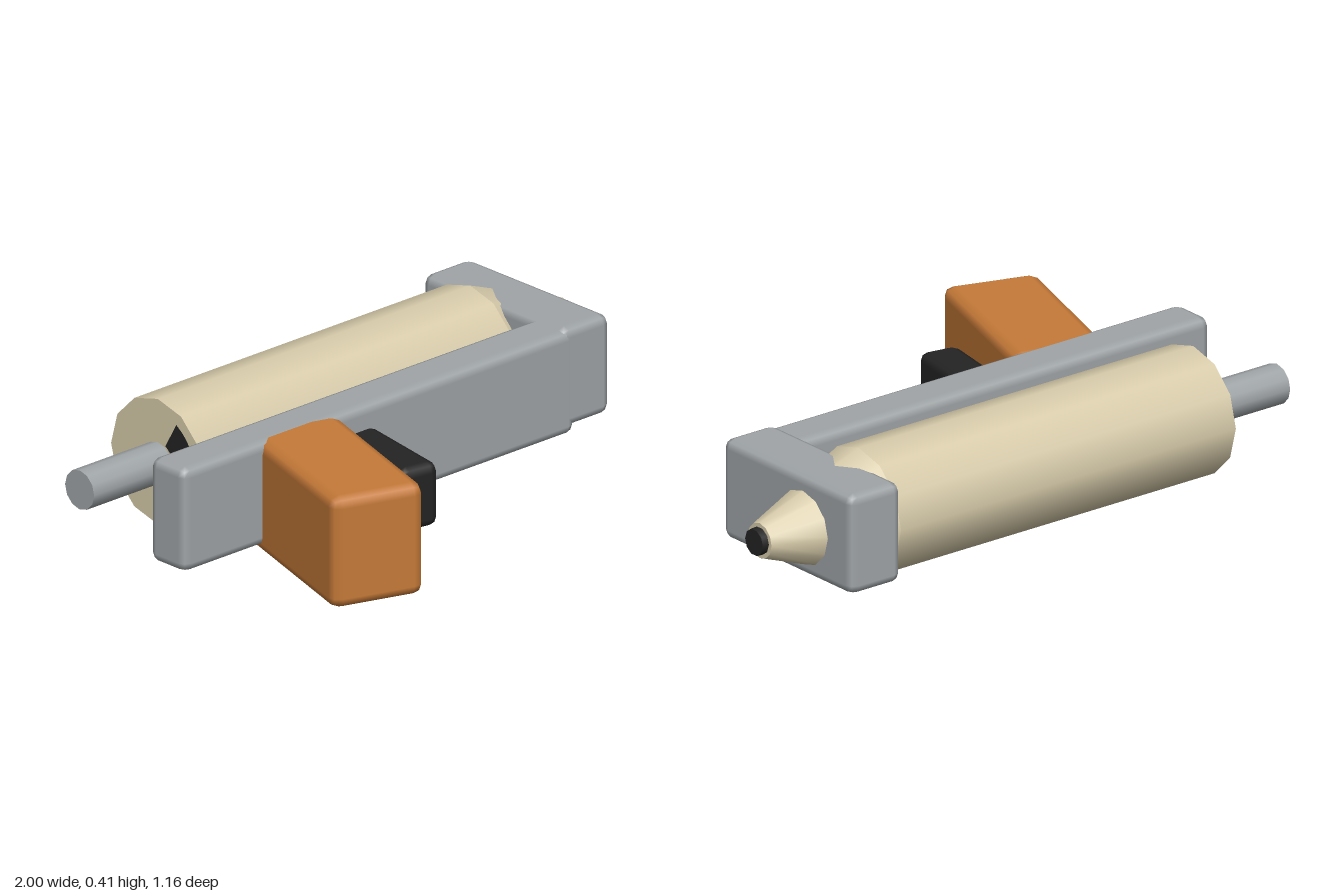
import * as THREE from 'three';
import { RoundedBoxGeometry } from 'three/addons/geometries/RoundedBoxGeometry.js';

const AXIS_Y = 0.205;
const AXIS_Z = -0.355;

function material(name, color) {
  const m = new THREE.MeshStandardMaterial({ color });
  m.name = name;
  return m;
}

export function createModel() {
  const group = new THREE.Group();
  group.name = 'caulkingGun';
  const metal = material('greyMetal', 0xa0a5a8);
  const cream = material('creamPlastic', 0xd8ccab);
  const orange = material('orangeGrip', 0xc67a38);
  const black = material('blackRubber', 0x242424);

  function add(name, geometry, mat) {
    const mesh = new THREE.Mesh(geometry, mat);
    mesh.name = name;
    group.add(mesh);
    return mesh;
  }

  // Bevelled block, given by size and centre, turned about the vertical
  function block(name, mat, size, centre, bevel, turn = 0) {
    const mesh = add(name, new RoundedBoxGeometry(...size, 1, bevel), mat);
    mesh.position.set(...centre);
    mesh.rotation.y = turn;
  }

  // Round part along the x axis of the cartridge
  function round(name, mat, x0, x1, r0, r1, sides = 12) {
    const geometry = new THREE.CylinderGeometry(r1, r0, x1 - x0, sides);
    geometry.rotateZ(-Math.PI / 2);
    add(name, geometry, mat).position.set((x0 + x1) / 2, AXIS_Y, AXIS_Z);
  }

  // Frame
  block('rail', metal, [1.605, 0.335, 0.155], [-0.1325, 0.195, -0.047], 0.03);
  block('headBlock', metal, [0.195, 0.32, 0.615], [0.715, 0.212, -0.277], 0.03);

  // Handle and trigger, both leaning back
  block('grip', orange, [0.305, 0.36, 0.615], [-0.526, 0.18, 0.25], 0.035, THREE.MathUtils.degToRad(-18));
  block('trigger', black, [0.134, 0.206, 0.41], [-0.236, 0.182, 0.153], 0.03, THREE.MathUtils.degToRad(-10));

  // Cartridge, push rod and nozzle
  round('cartridge', cream, -0.68, 0.6, 0.202, 0.202);
  round('cartridgeShoulder', cream, 0.6, 0.8, 0.202, 0.125);
  round('pushRod', metal, -1, -0.6, 0.063, 0.063);
  round('nozzle', cream, 0.78, 0.978, 0.13, 0.056);
  round('nozzleTip', black, 0.96, 1, 0.045, 0.042, 10);

  // Small dark wedge on the rear face of the cartridge
  const wedge = new THREE.RingGeometry(0.07, 0.165, 1, 1, Math.PI / 6, Math.PI / 6);
  wedge.rotateY(-Math.PI / 2);
  add('plungerFace', wedge, black).position.set(-0.682, AXIS_Y, AXIS_Z);

  return group;
}
